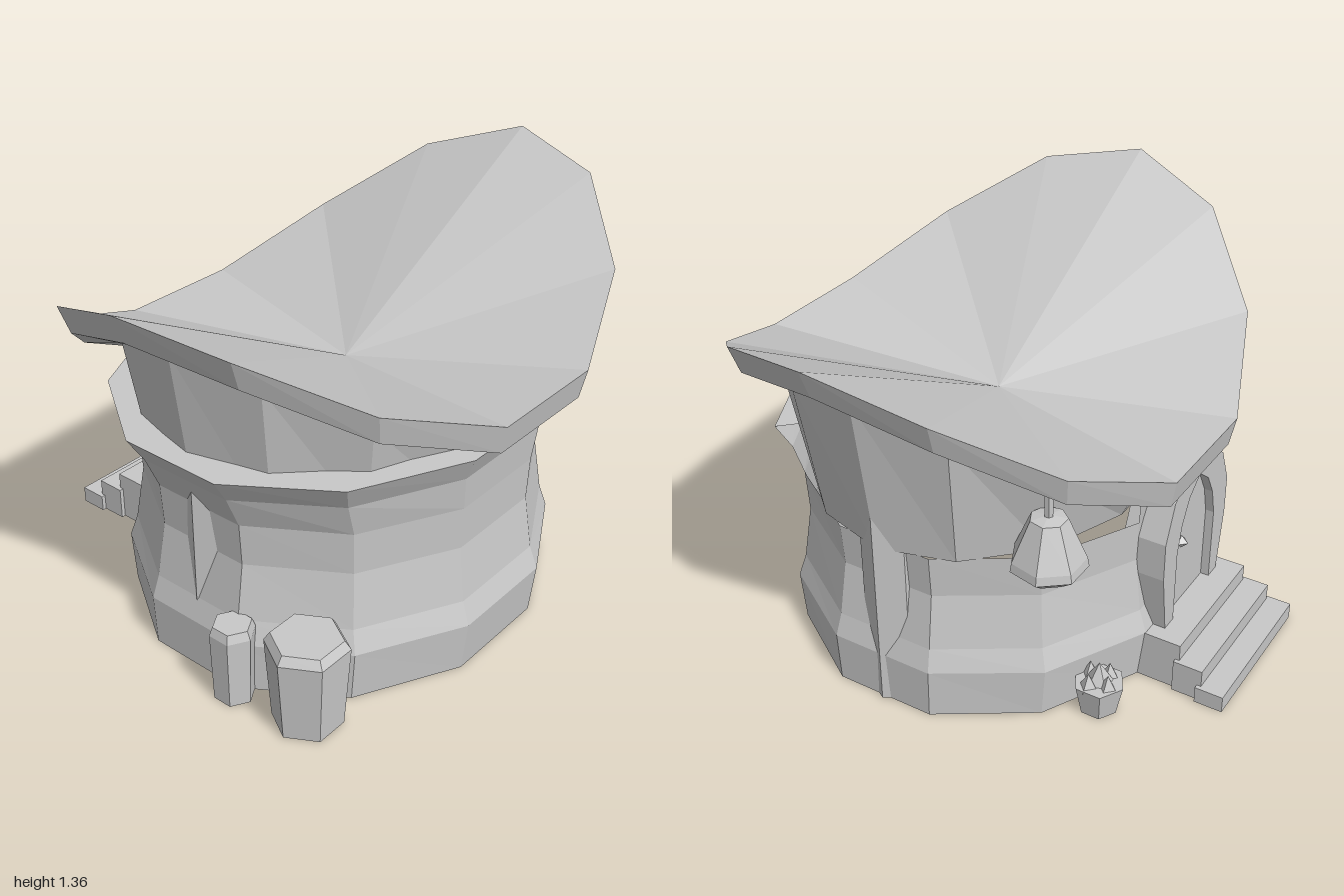
import * as THREE from 'three';

const CZ = 0.1; // the round house sits slightly forward

export function createModel() {
  const group = new THREE.Group();
  const grey = new THREE.MeshStandardMaterial({ color: 0xc8c8c8, flatShading: true, side: THREE.DoubleSide });
  grey.name = 'plain grey';

  const add = (name, geo, x = 0, y = 0, z = 0) => {
    const mesh = new THREE.Mesh(geo, grey);
    mesh.name = name;
    mesh.position.set(x, y, z);
    group.add(mesh);
    return mesh;
  };

  // Skin rings of points, listed from inside/bottom to outside/top
  const loft = (rings, skip = () => false) => {
    const pos = [];
    const tri = (...p) => p.forEach(v => pos.push(...v));
    for (let i = 0; i < rings.length - 1; i++) {
      const n = rings[i].length;
      for (let j = 0; j < n; j++) {
        if (skip(i, j)) continue;
        const k = (j + 1) % n;
        const a = rings[i][j], b = rings[i][k], c = rings[i + 1][k], d = rings[i + 1][j];
        if (i < rings.length - 1 && c !== d) tri(a, d, c);
        if (a !== b) tri(a, c, b);
      }
    }
    const geo = new THREE.BufferGeometry();
    geo.setAttribute('position', new THREE.Float32BufferAttribute(pos, 3));
    geo.computeVertexNormals();
    return geo;
  };

  const ring = (n, start, rx, rz, yOf, cx = 0) => Array.from({ length: n }, (_, j) => {
    const t = start + j * 2 * Math.PI / n, c = Math.cos(t), s = Math.sin(t);
    return [cx + rx * c, typeof yOf === 'number' ? yOf : yOf(c, s), CZ + rz * s];
  });
  const point = (n, y) => Array(n).fill([0, y, CZ]);

  // Saddle-shaped roof slab
  const top = (c, s) => 0.87 + 0.49 * c * c + 0.064 * s;
  const under = (c, s) => top(c, s) - 0.1;
  const eave = (c, s) => 0.78 + 0.385 * c * c + 0.05 * s;
  const inner = ring(14, 0, 0.8, 0.655, eave);
  add('roof', loft([
    point(14, 0.75), inner, ring(14, 0, 0.96, 0.78, under), ring(14, 0, 1, 0.8, top), point(14, 0.83),
  ]));

  // Upper wall rising to the roof
  add('upperWall', loft([ring(14, 0, 0.72, 0.58, 0.6), inner]));

  // Lower wall with a flared collar; its left (+x) side stops lower
  const profile = [
    [0, 0.765, 0.69], [0.18, 0.77, 0.71], [0.26, 0.745, 0.68], [0.45, 0.71, 0.652],
    [0.6, 0.72, 0.657], [0.72, 0.775, 0.668], [0.81, 0.835, 0.71], [0.81, 0.7, 0.57],
  ];
  add('lowerWall', loft(
    profile.map(([y, rx, rz]) => ring(12, -5 * Math.PI / 12, rx, rz, y, -0.015)),
    (i, j) => i >= 4 && j < 4,
  ));

  // Six-sided posts with chamfered tops
  const post = (name, x, z, h, r, taper, turn) => {
    const pts = [[0, 0], [r * taper, 0], [r, h - 0.03], [r * 0.85, h], [0, h]];
    const geo = new THREE.LatheGeometry(pts.map(p => new THREE.Vector2(...p)), 6);
    geo.rotateY(turn);
    add(name, geo, x, 0, z);
  };
  for (const side of [-1, 1]) post('wallPost', side * 0.64, CZ, 0.77, 0.098, 1, Math.PI / 6);
  post('largeStump', -0.712, 0.54, 0.32, 0.135, 0.85, Math.PI / 6);
  post('smallStump', -0.775, 0.29, 0.28, 0.075, 0.9, 0);

  // Steps up to the door
  const DX = -0.07;
  [[0.515, 0.18, -0.5, -0.715], [0.545, 0.12, -0.7, -0.805], [0.575, 0.06, -0.79, -0.89]].forEach(([w, h, z0, z1]) =>
    add('step', new THREE.BoxGeometry(w, h, z0 - z1), DX, h / 2, (z0 + z1) / 2));

  // Door frame with a pointed opening, and the door set into it
  const outline = pts => [...pts, ...pts.filter(p => p[0] > 0).reverse().map(([x, y]) => [-x, y])]
    .map(p => new THREE.Vector2(...p));
  const opening = outline([[0.14, 0.18], [0.14, 0.45], [0.115, 0.55], [0.07, 0.63], [0, 0.685]]);
  const frame = new THREE.Shape(outline([[0.2, 0.18], [0.235, 0.4], [0.235, 0.54], [0.18, 0.67], [0.09, 0.74]]));
  frame.holes.push(new THREE.Path(opening));
  add('doorFrame', new THREE.ExtrudeGeometry(frame, { depth: 0.15, bevelEnabled: false }), DX, 0, -0.63);
  add('door', new THREE.ExtrudeGeometry(new THREE.Shape(opening), { depth: 0.09, bevelEnabled: false }), DX, 0, -0.6);
  add('doorKnob', new THREE.OctahedronGeometry(0.025), DX + 0.07, 0.45, -0.61);

  // Hanging lantern under the eave
  const lamp = [[0, 0.575], [0.07, 0.575], [0.125, 0.62], [0.12, 0.65], [0.06, 0.79], [0, 0.8]];
  add('lantern', new THREE.LatheGeometry(lamp.map(p => new THREE.Vector2(...p)), 7), 0.53, 0, -0.41);
  add('lanternHook', new THREE.CylinderGeometry(0.015, 0.015, 0.14, 6), 0.53, 0.86, -0.41);

  // Plant pot with pointed leaves beside the steps
  const PX = 0.4, PZ = -0.53;
  add('pot', new THREE.CylinderGeometry(0.088, 0.065, 0.11, 6), PX, 0.055, PZ);
  add('leaf', new THREE.ConeGeometry(0.05, 0.08, 5), PX, 0.145, PZ);
  for (let i = 0; i < 4; i++) {
    const t = i * Math.PI / 2 + 0.4;
    add('leaf', new THREE.ConeGeometry(0.035, 0.06, 4), PX + 0.045 * Math.cos(t), 0.13, PZ + 0.045 * Math.sin(t));
  }
  return group;
}
